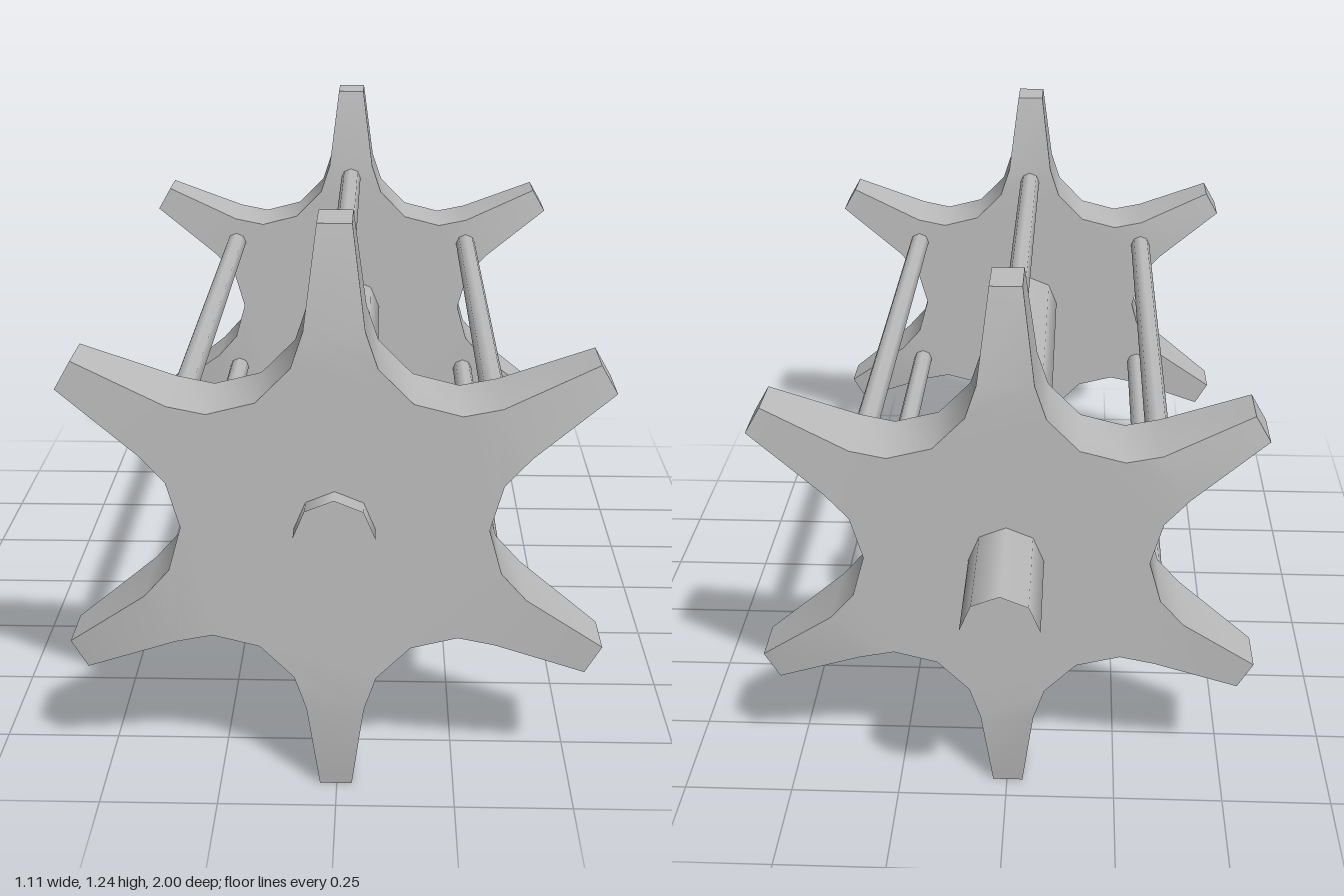
import * as THREE from 'three';
import { mergeGeometries, toCreasedNormals } from 'three/addons/utils/BufferGeometryUtils.js';

const AXIS_Y = 0.62, TEETH = 6, DEPTH = 0.178;
const FRONT_Z = 0.865, REAR_Z = -0.637; // wheel mid-planes
const steel = new THREE.MeshStandardMaterial({ color: 0xbebebe });
steel.name = 'grey steel';

// Six-toothed wheel: a flat core with scooped valleys, plus teeth that taper in width and depth
function wheelGeometry() {
  const arc = [[0.155, 0.2685], [0.085, 0.34], [0.06, 0.415], [-0.06, 0.415], [-0.085, 0.34]];
  const outline = [];
  const parts = [];
  for (let i = 0; i < TEETH; i++) {
    const angle = (i * Math.PI * 2) / TEETH;
    for (const [x, y] of arc) {
      outline.push(new THREE.Vector2(x, y).rotateAround(new THREE.Vector2(), angle));
    }
    const tooth = new THREE.BoxGeometry(0.12, 0.205, DEPTH).translate(0, 0.5175, 0);
    const p = tooth.attributes.position;
    for (let v = 0; v < p.count; v++) {
      if (p.getY(v) > 0.5) {
        p.setX(v, p.getX(v) * 0.57);
        p.setZ(v, p.getZ(v) * 0.61);
      }
    }
    parts.push(tooth.rotateZ(angle).toNonIndexed());
  }
  const core = new THREE.ExtrudeGeometry(new THREE.Shape(outline), { depth: DEPTH, bevelEnabled: false });
  core.translate(0, 0, -DEPTH / 2);
  parts.push(core.index ? core.toNonIndexed() : core);
  return toCreasedNormals(mergeGeometries(parts), 0.7);
}

// Open-ended bar running along z
function bar(name, radius, sides, zFrom, zTo, x = 0, y = 0) {
  const geometry = new THREE.CylinderGeometry(radius, radius, zTo - zFrom, sides, 1, true).rotateX(Math.PI / 2);
  const mesh = new THREE.Mesh(geometry, steel);
  mesh.name = name;
  mesh.position.set(x, y, (zFrom + zTo) / 2);
  return mesh;
}

export function createModel() {
  const model = new THREE.Group();
  model.name = 'toothedRoller';
  const rotor = new THREE.Group();
  rotor.name = 'rotor';
  rotor.position.set(-0.002, AXIS_Y, 0);
  model.add(rotor);

  // Wheels
  const geometry = wheelGeometry();
  for (const [name, z] of [['frontWheel', FRONT_Z], ['rearWheel', REAR_Z]]) {
    const wheel = new THREE.Mesh(geometry, steel);
    wheel.name = name;
    wheel.position.z = z;
    rotor.add(wheel);
  }

  // Hollow central shaft
  rotor.add(bar('shaft', 0.082, 8, -1, 1));

  // Tie rods, one behind each tooth
  for (let i = 0; i < TEETH; i++) {
    const angle = Math.PI / 2 + (i * Math.PI * 2) / TEETH;
    rotor.add(bar('tieRod' + (i + 1), 0.027, 8, REAR_Z, FRONT_Z, Math.cos(angle) * 0.38, Math.sin(angle) * 0.38));
  }
  return model;
}
